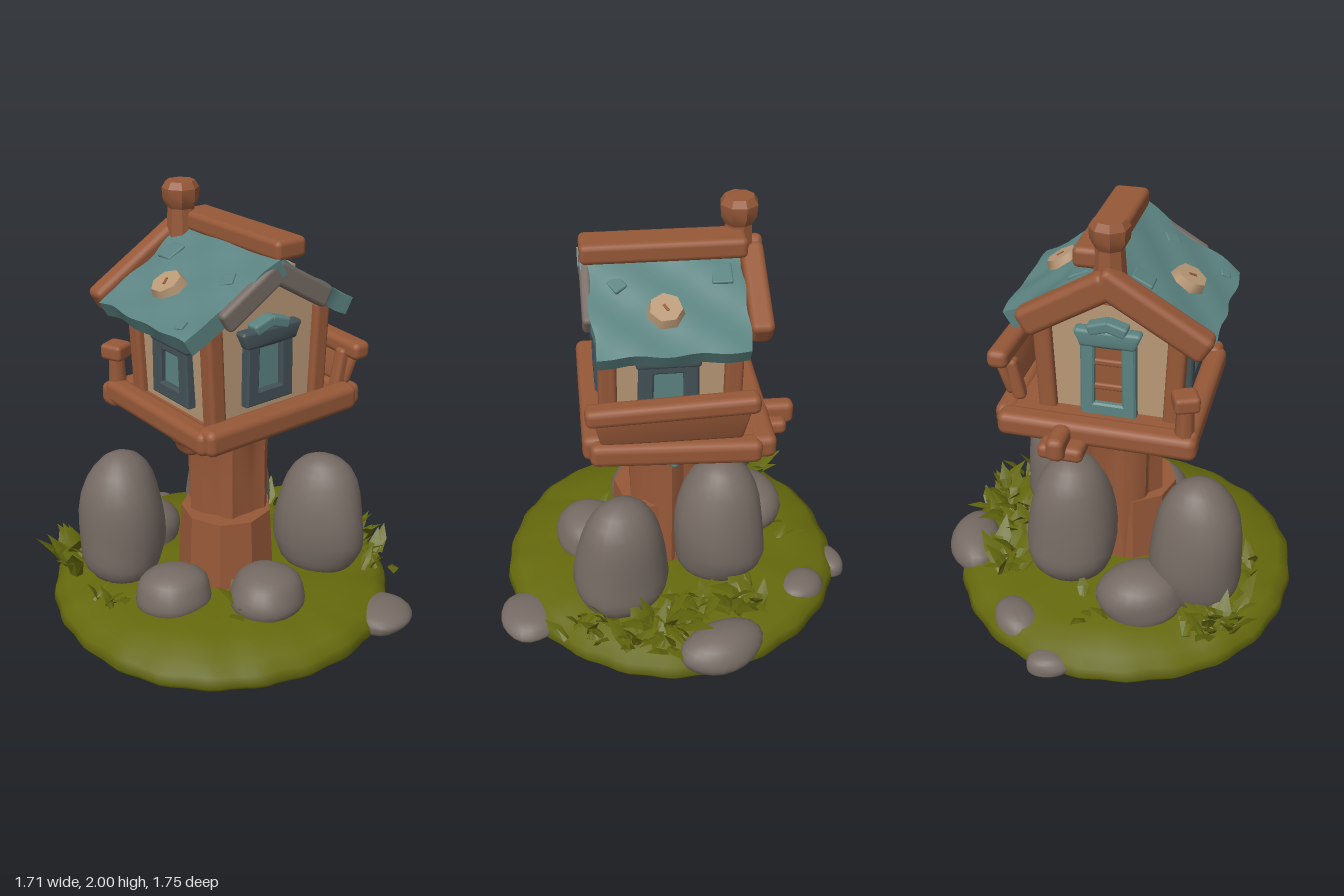
import * as THREE from 'three';
import { mergeGeometries, toCreasedNormals } from 'three/addons/utils/BufferGeometryUtils.js';
import { RoundedBoxGeometry } from 'three/addons/geometries/RoundedBoxGeometry.js';

const mat = (name, color, side = THREE.FrontSide) => {
  const m = new THREE.MeshStandardMaterial({ color, side });
  m.name = name;
  return m;
};

export function createModel() {
  const wood = mat('wood', 0x965838), teal = mat('teal', 0x5b8381), stone = mat('stone', 0x766b64);
  const cream = mat('cream', 0xb89876), dark = mat('dark frame', 0x435156);
  const grass = mat('grass', 0x65690c), leafGreen = mat('leaf green', 0x62670d, THREE.DoubleSide);

  let seed = 7;
  const rand = () => (seed = (seed * 16807) % 2147483647) / 2147483647;
  const model = new THREE.Group();
  model.name = 'treeHouse';

  const add = (parent, name, geo, material, x = 0, y = 0, z = 0, rx = 0, ry = 0, rz = 0) => {
    const m = new THREE.Mesh(geo, material);
    m.name = name;
    m.position.set(x, y, z);
    m.rotation.set(rx, ry, rz);
    parent.add(m);
    return m;
  };
  const rbox = (w, h, d, r = 0.025) => new RoundedBoxGeometry(w, h, d, 2, Math.min(r, w / 2.1, h / 2.1, d / 2.1));
  const lathe = (points, sides) => new THREE.LatheGeometry(points.map(p => new THREE.Vector2(...p)), sides);
  // Moves each vertex by a rule, then recomputes creased normals
  const warp = (geo, rule, crease = 0.7) => {
    const p = geo.attributes.position, v = new THREE.Vector3();
    for (let i = 0; i < p.count; i++) {
      rule(v.fromBufferAttribute(p, i));
      p.setXYZ(i, v.x, v.y, v.z);
    }
    return toCreasedNormals(geo, crease);
  };

  // Ground mound with a ragged rim
  const mound = [[0, 0.012], [0.8, 0.012], [0.82, 0.04], [0.81, 0.09], [0.76, 0.13], [0.6, 0.155], [0.3, 0.18], [0, 0.19]];
  add(model, 'ground', warp(lathe(mound, 96), v => {
    const a = Math.atan2(v.z, v.x), k = 1 + 0.006 * Math.sin(a * 5) + 0.007 * Math.sin(a * 23);
    v.x *= k; v.z *= k;
    if (v.y > 0.08) v.y += 0.008 * Math.sin(v.x * 14) * Math.cos(v.z * 12);
  }, 0.9), grass, -0.03, 0, -0.055);

  // Stones: [name, x, z, half width, half depth, base, top, turn]
  [
    ['tallStone', -0.355, -0.4, 0.21, 0.195, 0.1, 0.785, 0.1], ['tallStone', 0.22, -0.21, 0.215, 0.205, 0.1, 0.785, 1.2],
    ['tallStone', 0.29, 0.305, 0.18, 0.22, 0.1, 0.73, 0.2], ['lowStone', -0.17, 0.32, 0.18, 0.17, 0.08, 0.33, 0.3],
    ['lowStone', -0.42, -0.03, 0.15, 0.17, 0.08, 0.325, 0.9], ['lowStone', -0.1, -0.5, 0.2, 0.16, 0.08, 0.36, 0.1],
    ['groundStone', 0.72, -0.03, 0.122, 0.195, 0.02, 0.22, 0.1], ['groundStone', 0.183, 0.735, 0.15, 0.135, 0.01, 0.13, 0],
    ['groundStone', 0.48, -0.54, 0.1, 0.13, 0.03, 0.17, 0.4], ['groundStone', 0.32, -0.78, 0.1, 0.07, 0.005, 0.115, -0.1],
  ].forEach(([name, x, z, w, d, base, top, turn], i) => {
    const tall = name === 'tallStone', mid = base + (top - base) * (tall ? 0.33 : 0.45);
    add(model, name, warp(new THREE.SphereGeometry(1, 22, 16), v => {
      const bump = 1 + 0.045 * Math.sin(v.x * 3.1 + i * 2) * Math.cos(v.z * 3.7 + i) + 0.03 * Math.sin(v.y * 5 + v.x * 2 + i);
      const fat = 1.03 + (tall ? 0.22 : 0.15) * v.y * v.y;
      v.set(v.x * bump * fat * w, v.y * (v.y > 0 ? top - mid : mid - base), v.z * bump * fat * d);
    }, 0.8), stone, x, mid, z, 0, turn);
  });

  // Trunk with bark grooves, on a wide stump
  add(model, 'trunk', warp(new THREE.CylinderGeometry(0.18, 0.185, 0.86, 32, 8), v => {
    const a = Math.atan2(v.z, v.x);
    const k = 0.99 + 0.07 * Math.sin(a * 6 + v.y * 1.5) + 0.04 * Math.sin(a * 11) + 0.6 * Math.max(0, v.y - 0.25);
    v.x *= k; v.z *= k;
  }, 0.6), wood, -0.02, 0.6, -0.025);
  add(model, 'stump', toCreasedNormals(new THREE.CylinderGeometry(0.215, 0.24, 0.44, 9), 0.5), wood, -0.06, 0.3, 0, 0, 0.35);
  add(model, 'knot', new THREE.SphereGeometry(0.024, 10, 8), teal, 0.17, 0.785, 0);

  // Everything above the trunk is turned as one
  const house = new THREE.Group();
  house.name = 'house';
  house.rotation.y = -0.25;
  model.add(house);

  // Platform and its beams, sagging a little towards the back
  add(house, 'crossBeam', warp(rbox(0.7, 0.13, 0.14, 0.05), v => { if (v.y < 0) v.x *= 0.93; }), wood, -0.02, 0.945, 0.05);
  add(house, 'floor', rbox(0.82, 0.08, 0.74), wood, 0, 1.045, -0.03);
  add(house, 'frontBeam', rbox(0.84, 0.12, 0.11, 0.035), wood, 0, 1.07, 0.325);
  add(house, 'backBeam', rbox(0.88, 0.11, 0.11, 0.035), wood, 0, 1.04, -0.4);
  add(house, 'leftBeam', rbox(0.1, 0.11, 0.74, 0.035), wood, 0.42, 1.05, -0.02, -0.04);
  add(house, 'rightBeam', rbox(0.1, 0.11, 0.76, 0.035), wood, -0.39, 1.06, -0.04);
  add(house, 'step', rbox(0.2, 0.07, 0.14), wood, 0.13, 0.99, -0.47);
  add(house, 'stepBeam', rbox(0.08, 0.11, 0.22, 0.03), wood, 0.14, 1.03, -0.47);
  add(house, 'porchPost', new THREE.CylinderGeometry(0.035, 0.045, 0.2, 8), wood, -0.38, 1.15, -0.39);
  add(house, 'porchPostCap', rbox(0.11, 0.075, 0.11, 0.02), wood, -0.38, 1.255, -0.39, 0, 0.4);

  // Leaning balcony boards
  add(house, 'balconyBoard', warp(rbox(0.045, 0.17, 0.66, 0.02), v => { if (v.y < 0) v.z *= 0.93; }), wood, 0.435, 1.19, 0, 0, 0, -0.22);
  add(house, 'balconyRail', rbox(0.095, 0.085, 0.73, 0.03), wood, 0.455, 1.29, 0, 0.04);
  for (const z of [-0.28, 0.27]) add(house, 'balconyPost', rbox(0.06, 0.2, 0.06, 0.02), wood, 0.4, 1.18, z, 0, 0, -0.2);

  // Cabin walls with a gable, and corner posts
  const cabin = new THREE.Group();
  cabin.name = 'cabin';
  cabin.position.x = -0.03;
  house.add(cabin);
  const wall = new THREE.Shape([[-0.28, 1.05], [0.28, 1.05], [0.3, 1.53], [0, 1.72], [-0.3, 1.53]].map(p => new THREE.Vector2(...p)));
  add(cabin, 'walls', new THREE.ExtrudeGeometry(wall, { depth: 0.55, bevelEnabled: false }), cream, 0, 0, -0.285);
  for (const s of [-1, 1]) for (const z of [-0.28, 0.26]) {
    add(cabin, 'cornerPost', rbox(0.08, 0.48, 0.08, 0.02), wood, s * 0.285, 1.3, z, 0, 0, -s * 0.04);
  }

  // Framed openings
  const frameGeo = (w, h, t) => {
    const quad = (a, b, c) => [[-a, -c], [a, -c], [b, c], [-b, c]].map(p => new THREE.Vector2(...p));
    const s = new THREE.Shape(quad(w * 0.48, w * 0.46, h / 2));
    s.holes.push(new THREE.Path(quad(w * 0.48 - t, w * 0.46 - t, h / 2 - t).reverse()));
    return new THREE.ExtrudeGeometry(s, { depth: 0.035, bevelEnabled: true, bevelSize: 0.008, bevelThickness: 0.008, bevelSegments: 1 });
  };
  const opening = (name, x, y, z, ry, w, h, t, frame, pane) => {
    const g = new THREE.Group();
    g.name = name;
    g.position.set(x, y, z);
    g.rotation.y = ry;
    cabin.add(g);
    add(g, 'frame', frameGeo(w, h, t), frame);
    add(g, 'pane', new THREE.BoxGeometry(w - t, h - t, 0.008), pane, 0, 0, 0.012);
    return g;
  };
  const hood = (g, y, w, lower) => {
    add(g, 'lintel', warp(rbox(w, 0.08, 0.06, 0.015), v => { if (v.y < 0) v.x *= 0.85; }), lower, 0, y, 0.025);
    for (const s of [-1, 1]) add(g, 'hood', rbox(w * 0.33, 0.05, 0.065, 0.012), teal, s * w * 0.13, y + 0.05, 0.025, 0, 0, -s * 0.3);
  };
  const front = opening('frontWindow', -0.01, 1.315, 0.265, 0, 0.25, 0.31, 0.05, dark, teal);
  hood(front, 0.145, 0.32, dark);
  for (const s of [-1, 1]) {
    const side = opening('sideWindow', s * 0.285, 1.28, 0, s * Math.PI / 2, 0.26, 0.27, 0.05, dark, teal);
    add(side, 'windowTop', rbox(0.28, 0.04, 0.055, 0.015), dark, 0, 0.125, 0.02);
  }
  const door = opening('door', 0, 1.275, -0.285, Math.PI, 0.24, 0.38, 0.045, teal, wood);
  hood(door, 0.185, 0.29, teal);
  for (const y of [-0.06, 0.06]) add(door, 'doorBar', rbox(0.15, 0.03, 0.025, 0.01), wood, 0, y, 0.015);

  // Roof halves; x runs from the ridge down the slope
  for (const s of [-1, 1]) {
    const slope = new THREE.Group();
    slope.name = s > 0 ? 'leftRoof' : 'rightRoof';
    slope.position.y = 1.748;
    slope.rotation.set(0, s > 0 ? 0 : Math.PI, -0.54, 'YXZ');
    cabin.add(slope);
    add(slope, 'shingles', warp(new THREE.BoxGeometry(0.52, 0.08, 0.65, 14, 2, 18), v => {
      const eave = v.x > 0.25;
      v.y += 0.01 * Math.sin(v.x * 19 + s) * Math.cos(v.z * 17) + 0.1 * v.x * v.x;
      // The ridge overhangs the front more than the eave does
      if (v.z * s > 0.3) v.z += s * 0.1 * (0.05 - v.x);
      if (Math.abs(v.z) > 0.3) v.z += 0.006 * Math.sin(v.x * 30);
      if (eave) v.x += 0.006 * Math.sin(v.z * 25 + s);
    }, 0.7), teal, 0.245, 0, -s * 0.005);
    const patchZ = s > 0 ? 0.01 : 0.05;
    add(slope, 'roofPatch', toCreasedNormals(new THREE.CylinderGeometry(0.07, 0.092, 0.075, 7), 0.9), cream, 0.3, 0.042, patchZ, 0, 0.3, 0.04);
    add(slope, 'patchNotch', new THREE.BoxGeometry(0.035, 0.006, 0.012), wood, 0.3, 0.08, patchZ, 0, 0.5, 0.04);
    [[0.13, -0.24, 0.1], [0.44, 0.2, 0.05], [0.16, 0.2, 0.07]].forEach(([x, z, w], i) =>
      add(slope, 'looseShingle', rbox(w, 0.03, w * 0.9, 0.008), teal, x, 0.036, z * s, 0, 0.3 * i, 0.08));
    // Stone board on the front gable, timber board on the back
    add(slope, 'frontGableBoard', rbox(0.35, 0.1, 0.05, 0.02), stone, 0.155, -0.008, s * 0.327);
    const backLength = s > 0 ? 0.44 : 0.53;
    add(slope, 'backGableBoard', rbox(backLength, 0.125, 0.1, 0.03), wood, backLength / 2 - 0.03, s > 0 ? -0.01 : 0.015, -s * 0.385);
  }
  add(house, 'ridgeBeam', rbox(0.16, 0.09, 0.7, 0.025), wood, 0.03, 1.825, 0);

  // Chimney at the back of the ridge, flaring to a rounded top
  const flue = [[0.075, 1.66], [0.06, 1.88], [0.082, 1.92], [0.084, 1.97], [0.065, 2], [0, 2]];
  add(house, 'chimney', toCreasedNormals(lathe(flue, 8), 0.5), wood, -0.045, 0, -0.328, 0, 0.25);

  // Leafy clumps: [x, z, leaf count, leaf length]
  [
    [-0.47, -0.61, 24, 0.18], [-0.36, -0.66, 9, 0.14], [0.55, 0.16, 20, 0.18], [0.55, 0.31, 16, 0.15], [0.46, 0.47, 12, 0.14],
    [0.52, -0.22, 16, 0.19], [0.5, 0.02, 14, 0.18], [0.64, 0.2, 9, 0.12], [0.41, 0.56, 4, 0.12], [-0.29, 0.24, 7, 0.15],
    [0.1, -0.55, 6, 0.13], [-0.57, -0.28, 6, 0.13],
  ].forEach(([x, z, n, len]) => {
    const leaves = [];
    for (let i = 0; i < n; i++) {
      const l = len * (0.7 + 0.5 * rand());
      const g = new THREE.ConeGeometry(l * 0.27, l, 4, 2);
      const p = g.attributes.position;
      for (let j = 0; j < p.count; j++) {
        const t = p.getY(j) / l + 0.5;
        const wide = t < 0.1 ? 0.5 : 1.5;
        p.setXYZ(j, p.getX(j) * wide, t * l, p.getZ(j) * 0.25 + 0.3 * l * t * t);
      }
      g.rotateX(0.15 + 0.85 * rand());
      g.rotateY(i * 2.4 + rand());
      g.translate((rand() - 0.5) * 0.15, 0, (rand() - 0.5) * 0.15);
      leaves.push(toCreasedNormals(g, 0.3));
    }
    add(model, 'leafClump', mergeGeometries(leaves), leafGreen, x, 0.145, z);
  });

  return model;
}
